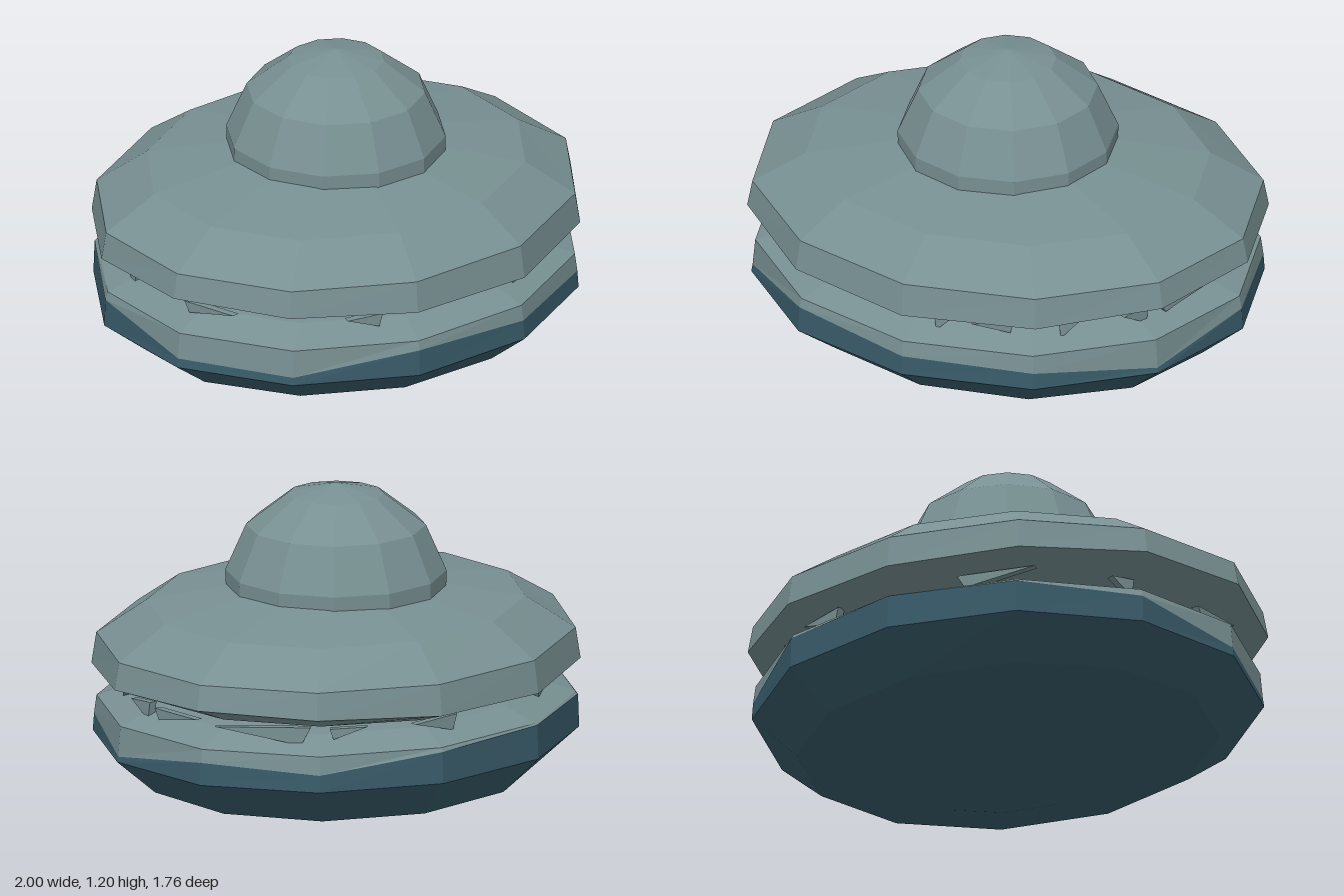
import * as THREE from 'three';

const SIDES = 12;
const DEPTH = 0.88; // the discs are shorter in z than in x

// Joins rings, listed from bottom to top as [radius, height], into a faceted shell.
// A height may be a function of the side number.
function loft(rings, depth) {
  const pos = [], idx = [];
  for (const [r, y] of rings) {
    for (let i = 0; i < SIDES; i++) {
      const a = (i / SIDES) * Math.PI * 2;
      pos.push(r * Math.sin(a), typeof y === 'function' ? y(i) : y, r * depth * Math.cos(a));
    }
  }
  for (let j = 0; j < rings.length - 1; j++) {
    for (let i = 0; i < SIDES; i++) {
      const a = j * SIDES + i, b = j * SIDES + (i + 1) % SIDES;
      const c = a + SIDES, d = b + SIDES;
      if (rings[j][0] > 0) idx.push(a, b, d);
      if (rings[j + 1][0] > 0) idx.push(a, d, c);
      else if (rings[j][0] > 0) idx.splice(idx.length - 3, 3, a, b, c);
    }
  }
  const g = new THREE.BufferGeometry();
  g.setAttribute('position', new THREE.Float32BufferAttribute(pos, 3));
  g.setIndex(idx);
  g.computeVertexNormals();
  return g;
}

// Rim height that dips towards the front and the back
const dip = (y, amount) => (i) => y - amount * Math.cos((i / SIDES) * Math.PI * 2) ** 2;
// Underside height that leans down towards the back left
const lean = (y, amount) => (i) => y + amount * Math.cos(((i - 10.5) / SIDES) * Math.PI * 2);

export function createModel() {
  const model = new THREE.Group();
  const hull = new THREE.MeshStandardMaterial({ color: 0x789092, flatShading: true });
  hull.name = 'greyHull';
  const paint = new THREE.MeshStandardMaterial({ color: 0x385b69, flatShading: true });
  paint.name = 'blueHull';

  const add = (name, geometry, material) => {
    const mesh = new THREE.Mesh(geometry, material);
    mesh.name = name;
    model.add(mesh);
    return mesh;
  };

  // Uneven line where the blue belly meets the grey wall, one height per side
  const line = [0.33, 0.32, 0.275, 0.34, 0.32, 0.375, 0.385, 0.38, 0.36, 0.29, 0.285, 0.355];
  const paintLine = (i) => line[i];

  add('belly', loft([
    [0, 0], [0.41, lean(0.018, 0.014)], [0.81, lean(0.12, 0.018)],
    [0.98, 0.255], [0.975, paintLine],
  ], DEPTH / 0.98), paint);

  add('lowerDisc', loft([
    [0.975, paintLine], [0.965, 0.39], [0.82, 0.44], [0.5, 0.455], [0, 0.455],
  ], DEPTH / 0.98), hull);

  add('upperDisc', loft([
    [0, 0.458], [0.5, 0.458], [0.81, dip(0.47, 0.012)], [1, dip(0.545, 0.038)],
    [0.98, dip(0.64, 0.008)], [0.775, 0.757], [0.41, 0.815], [0, 0.82],
  ], DEPTH), hull);

  add('dome', loft([
    [0.41, 0.79], [0.412, 0.865], [0.335, 1.04], [0.18, 1.16], [0, 1.2],
  ], 1), hull);

  // Jagged shards in the gap between the discs: [angle in degrees, width, height]
  const shards = [
    [8, 0.08, 0.06], [20, 0.16, 0.04], [40, 0.08, 0.06], [58, 0.12, 0.06], [76, 0.26, 0.04],
    [104, 0.36, 0.06], [128, 0.14, 0.04], [152, 0.2, 0.05], [205, 0.3, 0.05],
    [238, 0.1, 0.06], [275, 0.24, 0.04], [318, 0.14, 0.04],
  ];
  const gap = new THREE.Group();
  gap.name = 'gapShards';
  model.add(gap);
  shards.forEach(([deg, w, h], n) => {
    const flip = n % 2 ? 1 : -1;
    const shape = new THREE.Shape([
      new THREE.Vector2(-w / 2, 0), new THREE.Vector2(flip * w * 0.4, -h), new THREE.Vector2(w / 2, 0.01),
    ]);
    const g = new THREE.ExtrudeGeometry(shape, { depth: 0.03, bevelEnabled: false });
    const shard = new THREE.Mesh(g, hull);
    const a = THREE.MathUtils.degToRad(deg);
    shard.name = 'shard';
    shard.position.set(0.84 * Math.sin(a), 0.468, 0.84 * DEPTH * Math.cos(a));
    shard.rotation.y = a + flip * 0.15;
    gap.add(shard);
  });

  return model;
}
